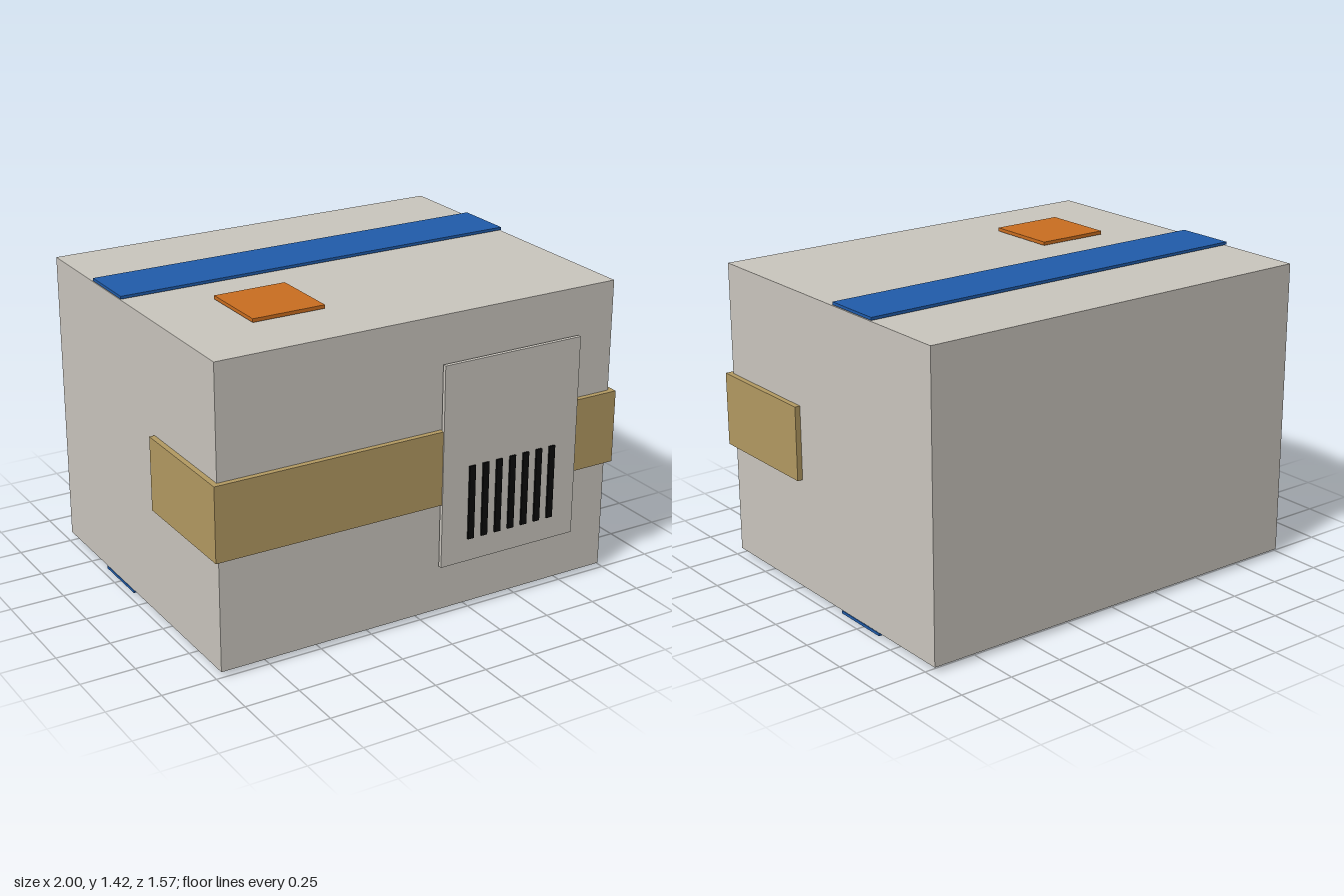
import * as THREE from 'three';

const material = (name, color) => {
  const m = new THREE.MeshStandardMaterial({ color });
  m.name = name;
  return m;
};

export function createModel() {
  const grey = material('warm grey', 0xcac6be);
  const tan = material('tan', 0xb39a62);
  const blue = material('blue', 0x205caa);
  const orange = material('orange', 0xca6e20);
  const black = material('black', 0x0a0a0a);

  const model = new THREE.Group();
  model.name = 'carton';

  // Adds a box given its lower and upper limits on each axis
  const slab = (name, mat, [x0, x1], [y0, y1], [z0, z1]) => {
    const mesh = new THREE.Mesh(new THREE.BoxGeometry(x1 - x0, y1 - y0, z1 - z0), mat);
    mesh.position.set((x0 + x1) / 2, (y0 + y1) / 2, (z0 + z1) / 2);
    mesh.name = name;
    model.add(mesh);
  };

  // Main body
  slab('body', grey, [-0.975, 0.975], [0.025, 1.393], [-0.783, 0.747]);

  // Tan band across the front, wrapping onto both sides
  const bandY = [0.54, 0.88];
  slab('frontBand', tan, [-1, 1], bandY, [0.747, 0.772]);
  slab('leftBand', tan, [0.975, 1], bandY, [0.186, 0.747]);
  slab('rightBand', tan, [-1, -0.975], bandY, [0.186, 0.747]);

  // Blue strips and orange squares on the top and bottom
  slab('topStrip', blue, [-0.975, 0.975], [1.397, 1.41], [-0.38, -0.098]);
  slab('bottomStrip', blue, [-0.975, 0.975], [0.009, 0.022], [-0.38, -0.098]);
  slab('topSquare', orange, [-0.64, -0.3], [1.4, 1.416], [0.106, 0.446]);
  slab('bottomSquare', orange, [-0.64, -0.3], [0, 0.017], [0.106, 0.446]);

  // Front label plate with a row of dark bars
  slab('labelPlate', grey, [0.085, 0.785], [0.243, 1.178], [0.759, 0.777]);
  for (let i = 0; i < 7; i++) {
    const x = 0.233 + i * 0.07;
    slab('labelBar', black, [x - 0.015, x + 0.015], [0.35, 0.695], [0.777, 0.786]);
  }

  return model;
}
